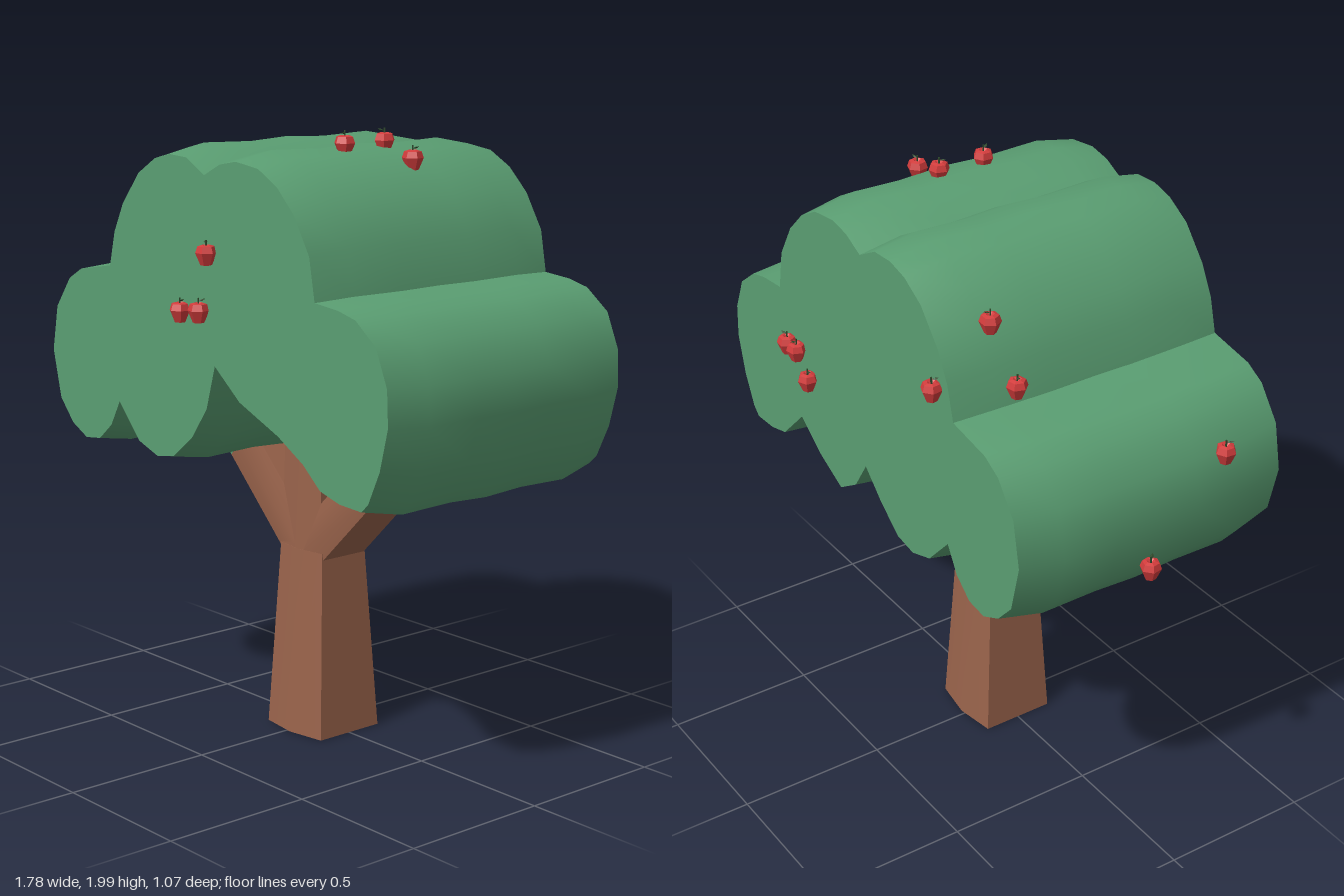
import * as THREE from 'three';
import { toCreasedNormals } from 'three/addons/utils/BufferGeometryUtils.js';

const mat = (name, color) => Object.assign(new THREE.MeshStandardMaterial({ color }), { name });

// Closed solid through a row of 2D outlines (anticlockwise seen from the first one).
function loft(outlines, place, crease) {
  const n = outlines[0].length, last = outlines.length - 1, pos = [], idx = [];
  outlines.forEach((o, i) => o.forEach(([x, y]) => pos.push(...place(i, x, y))));
  for (let i = 0; i < last; i++) {
    for (let j = 0; j < n; j++) {
      const k = (j + 1) % n, a = i * n + j, b = i * n + k, c = a + n, d = b + n;
      idx.push(a, c, b, b, c, d);
    }
  }
  const cap = o => THREE.ShapeUtils.triangulateShape(o.map(p => new THREE.Vector2(...p)), []);
  cap(outlines[0]).forEach(([a, b, c]) => idx.push(a, b, c));
  cap(outlines[last]).forEach(([a, b, c]) => idx.push(last * n + a, last * n + c, last * n + b));
  const g = new THREE.BufferGeometry();
  g.setAttribute('position', new THREE.Float32BufferAttribute(pos, 3));
  g.setIndex(idx);
  return toCreasedNormals(g, crease);
}

// Squared limb with slightly bowed front and back, from [x, y, halfWidth, halfDepth] to another.
function limb(from, to) {
  const dx = to[0] - from[0], dy = to[1] - from[1], len = Math.hypot(dx, dy);
  const s = [dy / len, -dx / len], ends = [to, from];
  const outlines = ends.map(([, , w, d]) =>
    [[w, -d * 0.86], [w, d * 0.86], [0, d], [-w, d * 0.86], [-w, -d * 0.86], [0, -d]]);
  return loft(outlines, (i, a, b) => [ends[i][0] + s[0] * a, ends[i][1] + s[1] * a, -b], 0.6);
}

export function createModel() {
  const leafGreen = mat('canopyGreen', 0x5a9e72);
  const bark = mat('barkBrown', 0x99634b);
  const red = mat('appleRed', 0xd23c3c);
  const dark = mat('stemDark', 0x2f4a2c);

  const tree = new THREE.Group();
  tree.name = 'appleTree';
  const add = (parent, name, geometry, material) => {
    const m = new THREE.Mesh(geometry, material);
    m.name = name;
    parent.add(m);
    return m;
  };

  // Canopy: lobed outline carried from front to back
  const rim = [
    [-0.85, 1.2], [-0.82, 1.36], [-0.74, 1.47], [-0.67, 1.51], [-0.5, 1.54],
    [-0.47, 1.66], [-0.42, 1.76], [-0.33, 1.87], [-0.24, 1.925], [-0.16, 1.945], [-0.07, 1.94], [0.02, 1.89],
    [0.1, 1.93], [0.18, 1.945], [0.29, 1.93], [0.38, 1.88], [0.46, 1.8], [0.53, 1.68], [0.555, 1.54],
    [0.66, 1.53], [0.74, 1.51], [0.83, 1.44], [0.88, 1.32], [0.885, 1.2], [0.85, 1.06],
    [0.8, 0.95], [0.77, 0.92], [0.67, 0.925], [0.58, 0.95]];
  const underLeft = [
    [-0.06, 1.01], [-0.16, 0.93], [-0.25, 0.915], [-0.35, 0.95], [-0.46, 1.07],
    [-0.51, 0.98], [-0.58, 0.92], [-0.66, 0.91], [-0.74, 0.95], [-0.81, 1.03]];
  // The front has an open arch here, the back an extra hanging lobe
  const arch = [[0.5, 1.02], [0.38, 1.09], [0.19, 1.17], [0.065, 1.27], [0.02, 1.12]];
  const hangingLobe = [[0.45, 1.08], [0.33, 0.99], [0.2, 0.925], [0.1, 0.99], [0.03, 1.1]];
  const sections = [ // z, scale x, scale y, share of hanging lobe
    [0.48, 0.967, 0.945, 0], [0.34, 0.995, 0.997, 0.2], [0.15, 1, 0.985, 0.6],
    [0, 1, 1, 0.9], [-0.15, 1, 0.985, 1], [-0.34, 0.995, 0.997, 1], [-0.485, 0.967, 0.945, 1]];
  const outlines = sections.map(([, sx, sy, t]) => {
    const mid = arch.map(([x, y], i) =>
      [x + (hangingLobe[i][0] - x) * t, y + (hangingLobe[i][1] - y) * t]);
    return [...rim, ...mid, ...underLeft].reverse()
      .map(([x, y]) => [0.017 + (x - 0.017) * sx, 1.42 + (y - 1.42) * sy]);
  });
  add(tree, 'canopy', loft(outlines, (i, x, y) => [x, y, sections[i][0]], 0.7), leafGreen);

  // Trunk and its three limbs, each ending in a green tip
  add(tree, 'trunk', limb([0.017, 0, 0.135, 0.145], [0.015, 0.62, 0.104, 0.106]), bark);
  [
    ['centre', [0.015, 0.5, 0.1, 0.108], [0.015, 1.1, 0.086, 0.095], [0.015, 1.32, 0.08, 0.09]],
    ['right', [0.0, 0.63, 0.08, 0.102], [-0.3, 0.925, 0.08, 0.1], [-0.48, 1.1, 0.078, 0.1]],
    ['left', [0.034, 0.615, 0.072, 0.102], [0.38, 0.95, 0.07, 0.1], [0.54, 1.1, 0.068, 0.1]],
  ].forEach(([side, a, b, c]) => {
    add(tree, side + 'Limb', limb(a, b), bark);
    add(tree, side + 'LimbTip', limb(b, c), leafGreen);
  });

  // Apples: faceted body, stem and small leaf
  const profile = [[0, -0.03], [0.018, -0.034], [0.034, 0.004], [0.027, 0.024], [0.014, 0.028], [0, 0.018]]
    .map(p => new THREE.Vector2(...p));
  const body = toCreasedNormals(new THREE.LatheGeometry(profile, 6), 0.3);
  const stem = new THREE.CylinderGeometry(0.003, 0.003, 0.026, 4).translate(0, 0.03, 0);
  const leaf = new THREE.OctahedronGeometry(1).scale(0.013, 0.003, 0.006)
    .rotateZ(0.3).translate(0.012, 0.036, 0);
  [
    [-0.085, 1.435, 0.5], [0.01, 1.445, 0.5], [0.052, 1.628, 0.5],
    [0.235, 1.95, -0.065], [0.235, 1.95, 0.1], [0.37, 1.905, -0.06],
    [-0.43, 1.79, -0.32], [-0.525, 1.61, -0.29],
    [-0.83, 1.355, 0.255], [-0.86, 1.065, -0.035],
    [0.47, 1.365, -0.505], [0.41, 1.365, -0.505], [0.345, 1.285, -0.505], [-0.4, 1.61, -0.505],
  ].forEach(([x, y, z], i) => {
    const apple = new THREE.Group();
    apple.name = 'apple' + (i + 1);
    add(apple, 'appleBody', body, red);
    add(apple, 'appleStem', stem, dark);
    add(apple, 'appleLeaf', leaf, dark);
    apple.position.set(x, y, z);
    apple.rotation.y = i * 1.3;
    tree.add(apple);
  });
  return tree;
}
